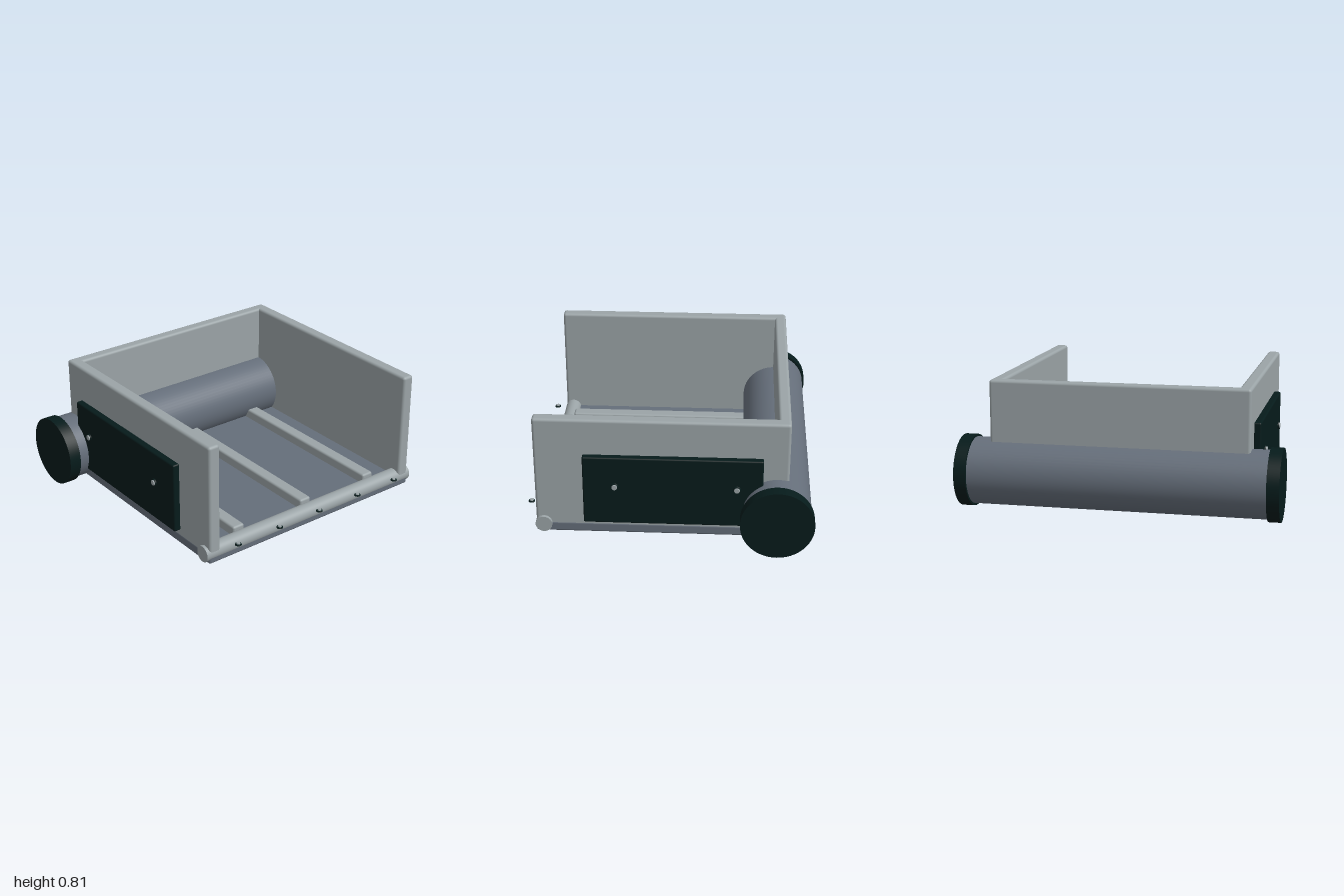
import * as THREE from 'three';
import { RoundedBoxGeometry } from 'three/addons/geometries/RoundedBoxGeometry.js';

export function createModel() {
  const model = new THREE.Group();
  const material = (name, color) => {
    const m = new THREE.MeshStandardMaterial({ color });
    m.name = name;
    return m;
  };
  const lightGrey = material('light grey', 0x9ba4a7);
  const slate = material('slate', 0x656e7a);
  const dark = material('dark green', 0x061b1b);

  function add(name, geometry, mat, x, y, z, parent = model) {
    const mesh = new THREE.Mesh(geometry, mat);
    mesh.name = name;
    mesh.position.set(x, y, z);
    parent.add(mesh);
    return mesh;
  }
  // Rounded box given by its extents along each axis
  function addBox(name, mat, [x0, x1], [y0, y1], [z0, z1], radius) {
    const geometry = new RoundedBoxGeometry(x1 - x0, y1 - y0, z1 - z0, 3, radius);
    return add(name, geometry, mat, (x0 + x1) / 2, (y0 + y1) / 2, (z0 + z1) / 2);
  }
  const rod = (r, length) => new THREE.CylinderGeometry(r, r, length, 64).rotateX(Math.PI / 2);

  // Three walls, open towards +x and above
  addBox('backWall', lightGrey, [-0.735, -0.66], [0.06, 0.812], [-0.81, 0.81], 0.018);
  addBox('leftWall', lightGrey, [-0.735, 0.815], [0.06, 0.812], [0.73, 0.81], 0.018);
  addBox('rightWall', lightGrey, [-0.735, 0.815], [0.06, 0.812], [-0.81, -0.73], 0.018);

  // Floor with three slats
  addBox('floor', slate, [-0.69, 0.815], [0.027, 0.095], [-0.812, 0.812], 0.014);
  for (const z of [-0.53, 0, 0.53]) {
    addBox('slat', lightGrey, [-0.53, 0.735], [0.075, 0.157], [z - 0.042, z + 0.042], 0.014);
  }

  // Large rear roller and its end caps
  add('roller', rod(0.21, 1.86), slate, -0.667, 0.226, 0);
  for (const side of [-1, 1]) {
    add('rollerCap', rod(0.225, 0.077), dark, -0.667, 0.226, side * 0.9615);
  }

  // Rod along the open edge
  add('edgeRod', rod(0.052, 1.66), lightGrey, 0.767, 0.086, 0);

  // Screw: dark washer with a small light button
  function addScrew(x, y, z, tilt, washerRadius, buttonRadius) {
    const screw = new THREE.Group();
    screw.name = 'screw';
    const washer = new THREE.CylinderGeometry(washerRadius - 0.003, washerRadius, 0.008, 24);
    const button = new THREE.CylinderGeometry(buttonRadius - 0.002, buttonRadius, 0.007, 24);
    add('washer', washer, dark, 0, 0, 0, screw);
    add('button', button, lightGrey, 0, 0.0075, 0, screw);
    screw.position.set(x, y, z);
    screw.rotation.x = tilt;
    model.add(screw);
  }
  for (let i = -2; i <= 2; i++) addScrew(0.868, 0.134, i * 0.319, 0, 0.021, 0.013);

  // Side panels with two screws each
  for (const side of [-1, 1]) {
    const z = [side * 0.805, side * 0.853].sort((a, b) => a - b);
    addBox('sidePanel', dark, [-0.577, 0.515], [0.123, 0.581], z, 0.01);
    for (const x of [-0.42, 0.32]) {
      addScrew(x, 0.387, side * 0.864, side * Math.PI / 2, 0.025, 0.018);
    }
  }
  return model;
}
